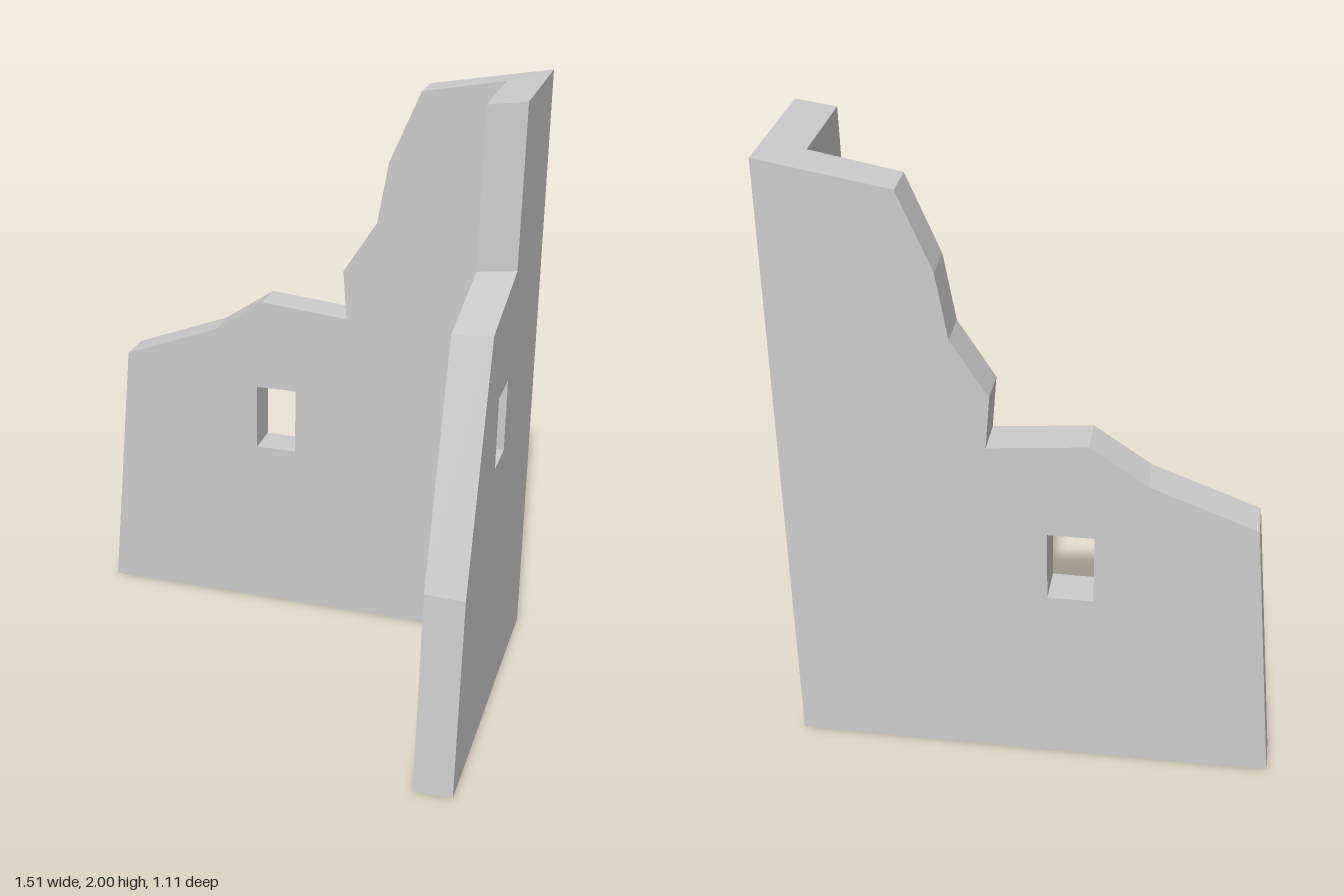
import * as THREE from 'three';

const OUT = 0.755, IN = 0.63;        // x of the side wall's outer and inner face
const BACK = -0.555, FRONT = -0.43;  // z of the back wall's outer and inner face

// Wall outlines, clockwise: [u, y] on the outer face, then [u, y] on the inner face where it differs
const backOutline = [
  [-0.757, 0], [-0.68, 0.912], [-0.35, 1.04], [-0.175, 1.16], [0.127, 1.132], [0.113, 1.303],
  [0.225, 1.482], [0.26, 1.69], [0.36, 1.93], [OUT, 2, IN, 1.982], [OUT, 0, IN, 0],
];
const sideOutline = [
  [BACK, 0, FRONT, 0], [BACK, 2, FRONT, 1.982], [-0.092, 2, -0.092, 1.982], [-0.07, 1.487, -0.07, 1.472],
  [0.28, 1.405, 0.28, 1.395], [0.51, 0.66, 0.51, 0.665], [0.557, 0],
];

// Counter-clockwise window opening
const opening = (u0, u1, y0, y1) => [[u0, y0], [u1, y0], [u1, y1], [u0, y1]];

// Hollow wall, open underneath: two faces, a broken top edge and window reveals.
// place(u, y, inner) gives the point in space; skip is the outline segment left open at the corner.
function wall(name, outline, hole, place, skip, material) {
  const pos = [];
  const tri = (...pts) => pts.forEach((p) => pos.push(...p));
  const at = (p, inner) => (inner && p.length > 2 ? [p[2], p[3]] : [p[0], p[1]]);

  // Broad faces
  for (const inner of [true, false]) {
    const shape = new THREE.Shape(outline.map((p) => new THREE.Vector2(...at(p, inner))));
    shape.holes.push(new THREE.Path(hole.map((p) => new THREE.Vector2(...p))));
    const face = new THREE.ShapeGeometry(shape);
    const v = face.attributes.position, index = face.index;
    for (let i = 0; i < index.count; i += 3) {
      const corners = [0, 1, 2].map((k) => {
        const j = index.getX(i + k);
        return place(v.getX(j), v.getY(j), inner);
      });
      tri(...(inner ? corners : corners.reverse()));
    }
  }

  // Thickness between the faces
  const strip = (a, b) => {
    const ao = place(...at(a, false), false), ai = place(...at(a, true), true);
    const bo = place(...at(b, false), false), bi = place(...at(b, true), true);
    tri(ao, ai, bi, ao, bi, bo);
  };
  for (let i = 0; i < outline.length - 1; i++) if (i !== skip) strip(outline[i], outline[i + 1]);
  hole.forEach((p, i) => strip(p, hole[(i + 1) % hole.length]));

  const geometry = new THREE.BufferGeometry();
  geometry.setAttribute('position', new THREE.Float32BufferAttribute(pos, 3));
  geometry.computeVertexNormals();
  const mesh = new THREE.Mesh(geometry, material);
  mesh.name = name;
  return mesh;
}

export function createModel() {
  const group = new THREE.Group();
  group.name = 'ruinedCornerWalls';
  const material = new THREE.MeshStandardMaterial({
    color: 0xcccccc, flatShading: true, side: THREE.DoubleSide,
  });
  group.add(
    wall('backWall', backOutline, opening(-0.195, -0.053, 0.61, 0.842),
      (u, y, inner) => [u, y, inner ? FRONT : BACK], backOutline.length - 2, material),
    wall('sideWall', sideOutline, opening(-0.016, 0.132, 0.915, 1.15),
      (u, y, inner) => [inner ? IN : OUT, y, u], 0, material),
  );
  return group;
}
